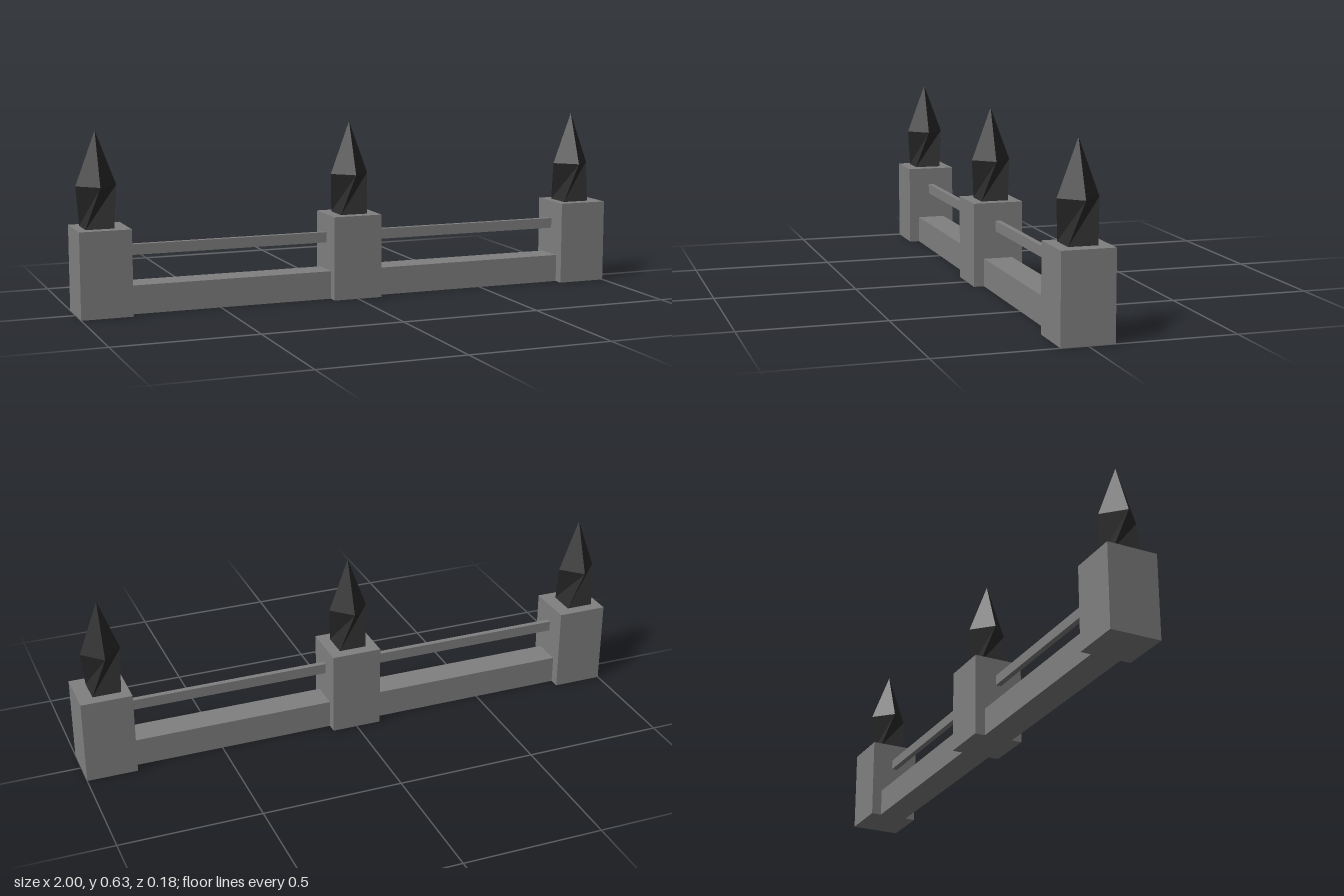
import * as THREE from 'three';

const stone = new THREE.MeshStandardMaterial({ color: 0x808080 });
stone.name = 'grey stone';
const iron = new THREE.MeshStandardMaterial({ color: 0x2b2b2b });
iron.name = 'dark iron';

function box(name, w, h, d, x, y) {
  const mesh = new THREE.Mesh(new THREE.BoxGeometry(w, h, d), stone);
  mesh.name = name;
  mesh.position.set(x, y + h / 2, 0);
  return mesh;
}

// Spearhead: a twisted square shaft under a four-sided point
function spikeGeometry() {
  const r = 0.07, shoulder = 0.143, height = 0.33;
  const ring = (deg, y) => {
    const a = THREE.MathUtils.degToRad(deg);
    return new THREE.Vector3(r * Math.cos(a), y, r * Math.sin(a));
  };
  const apex = new THREE.Vector3(0, height, 0);
  const points = [];
  for (let i = 0; i < 4; i++) {
    const a = i * 90;
    const b0 = ring(a + 45, 0), b1 = ring(a + 135, 0);
    const t0 = ring(a, shoulder), t1 = ring(a + 90, shoulder);
    points.push(b1, b0, t0); // shaft, rising from the base edge
    points.push(b1, t0, t1); // shaft, hanging from the shoulder edge
    points.push(t1, t0, apex); // point
  }
  const geometry = new THREE.BufferGeometry().setFromPoints(points);
  geometry.computeVertexNormals();
  return geometry;
}

export function createModel() {
  const group = new THREE.Group();
  group.name = 'fence';

  // Posts, each topped by a spike
  const spike = spikeGeometry();
  for (const [name, x, spikeX] of [['right', -0.91, -0.92], ['middle', 0, 0], ['left', 0.91, 0.9]]) {
    group.add(box(name + 'Post', 0.18, 0.3, 0.18, x, 0));
    const mesh = new THREE.Mesh(spike, iron);
    mesh.name = name + 'Spike';
    mesh.position.set(spikeX, 0.3, 0);
    group.add(mesh);
  }

  // Low wall and thin rail between the posts
  for (const [name, side] of [['right', -1], ['left', 1]]) {
    group.add(box(name + 'Wall', 0.73, 0.1, 0.105, side * 0.455, 0));
    group.add(box(name + 'Rail', 0.73, 0.037, 0.02, side * 0.455, 0.198));
  }
  return group;
}
